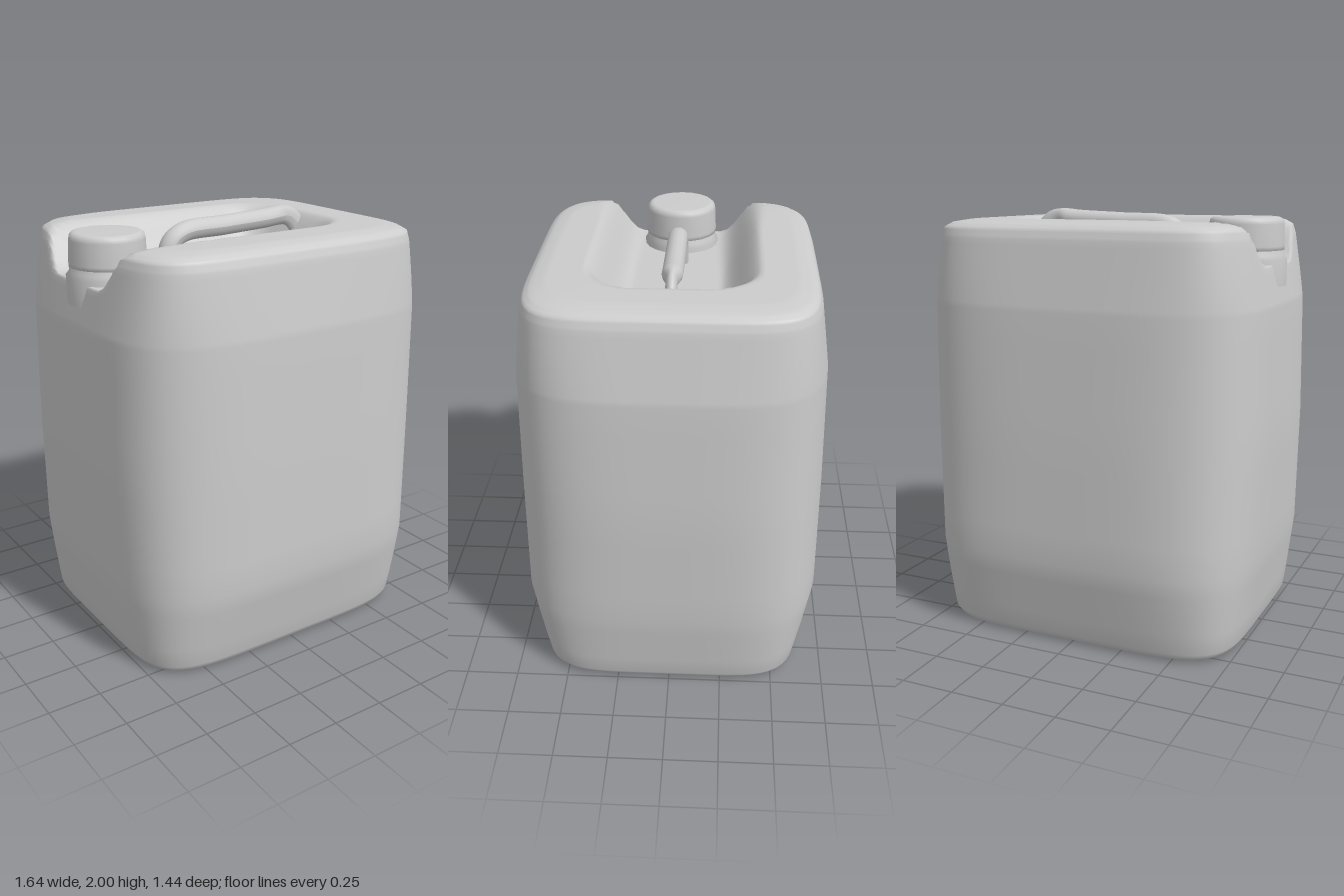
import * as THREE from 'three';

const material = new THREE.MeshStandardMaterial({ color: 0xcccccc, side: THREE.DoubleSide });
const FLOOR = 1.76;

function addMesh(group, geometry, name) {
  const mesh = new THREE.Mesh(geometry, material);
  mesh.name = name;
  group.add(mesh);
  return mesh;
}

// Height of the recess surface: a sloped channel, open at -x and rounded at +x
function recessHeight(x, z) {
  const r = 0.24;
  const qx = x - (0.48 - r), qz = Math.abs(z) - (0.385 - r);
  const d = Math.min(Math.max(qx, qz), 0) + Math.hypot(Math.max(qx, 0), Math.max(qz, 0)) - r;
  if (d >= 0) return Infinity;
  return 1.965 - (1.965 - FLOOR) * THREE.MathUtils.smoothstep(-d, -0.02, 0.18);
}

// Body: superellipse cross-sections, the upper part pressed down into the recess
function bodyGeometry() {
  // [y, half width, half depth, squareness, subdivisions to the next section]
  const sections = [
    [0, 0, 0, 5.5, 1], [0, 0.66, 0.56, 5.5, 1], [0.003, 0.70, 0.595, 5.5, 1],
    [0.015, 0.735, 0.622, 5.5, 1], [0.045, 0.755, 0.637, 5.5, 4],
    [0.42, 0.806, 0.718, 4.3, 4], [1.0, 0.822, 0.714, 4, 4],
    [1.57, 0.808, 0.697, 4.3, 12], [1.88, 0.75, 0.65, 5.5, 4],
    [1.925, 0.732, 0.633, 6, 3], [1.945, 0.70, 0.605, 6, 3],
    [1.957, 0.63, 0.55, 6, 34], [1.966, 0, 0, 5, 0],
  ];
  const rings = [];
  sections.forEach((s, i) => {
    for (let k = 0; k < s[4]; k++) {
      rings.push(s.slice(0, 4).map((v, j) => THREE.MathUtils.lerp(v, sections[i + 1][j], k / s[4])));
    }
  });
  rings.push(sections[sections.length - 1].slice(0, 4));

  const N = 128, positions = [], index = [];
  rings.forEach(([y, hx, hz, n], j) => {
    for (let i = 0; i < N; i++) {
      const a = (i / N) * Math.PI * 2, c = Math.cos(a), s = Math.sin(a);
      const r = (Math.abs(c) ** n + Math.abs(s) ** n) ** (-1 / n);
      const x = hx * r * c, z = hz * r * s;
      positions.push(x, Math.min(y, recessHeight(x, z)), z);
      if (j === 0) continue;
      const p = (j - 1) * N + i, q = (j - 1) * N + ((i + 1) % N);
      index.push(p, p + N, q, q, p + N, q + N);
    }
  });
  const geometry = new THREE.BufferGeometry();
  geometry.setAttribute('position', new THREE.Float32BufferAttribute(positions, 3));
  geometry.setIndex(index);
  geometry.computeVertexNormals();
  return geometry;
}

// Carrying handle: a bent bar that narrows where it meets the recess wall
function handleGeometry() {
  const path = new THREE.CatmullRomCurve3([
    [-0.34, 1.70], [-0.315, 1.80], [-0.285, 1.885], [-0.22, 1.925], [0, 1.936],
    [0.24, 1.946], [0.345, 1.953], [0.40, 1.938], [0.45, 1.88], [0.49, 1.80],
  ].map(([x, y]) => new THREE.Vector3(x, y, 0)), false, 'centripetal');
  const geometry = new THREE.TubeGeometry(path, 60, 0.047, 14, false);
  const p = geometry.attributes.position;
  for (let i = 0; i < p.count; i++) {
    p.setZ(i, p.getZ(i) * (1 - 0.45 * THREE.MathUtils.smoothstep(p.getX(i), 0.31, 0.38)));
  }
  geometry.computeVertexNormals();
  return geometry;
}

function lathe(points, sides) {
  return new THREE.LatheGeometry(points.map(([r, y]) => new THREE.Vector2(r, y)), sides);
}

export function createModel() {
  const group = new THREE.Group();
  group.name = 'canister';
  addMesh(group, bodyGeometry(), 'body');
  addMesh(group, handleGeometry(), 'handle');

  // Neck and screw cap at the open end of the recess
  const neck = lathe([[0.185, 1.66], [0.185, 1.78], [0.17, 1.80], [0.16, 1.86]], 24);
  addMesh(group, neck, 'neck').position.x = -0.62;
  const cap = lathe([
    [0, 1.82], [0.165, 1.82], [0.176, 1.822], [0.176, 1.84], [0.172, 1.94],
    [0.168, 1.958], [0.155, 1.969], [0.14, 1.972], [0, 1.973],
  ], 20);
  addMesh(group, cap, 'cap').position.x = -0.615;
  return group;
}
